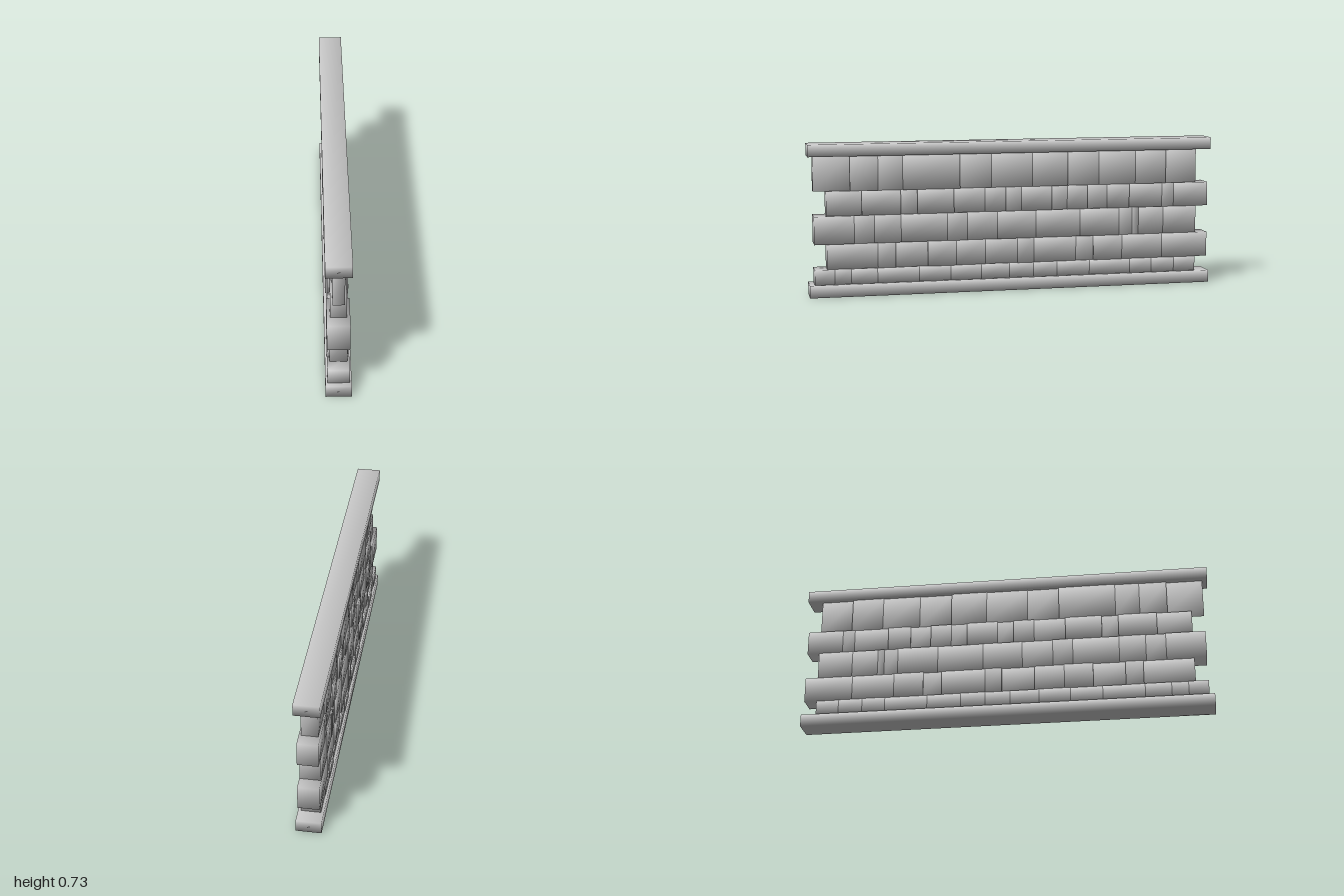
import * as THREE from 'three';
import { mergeVertices } from 'three/addons/utils/BufferGeometryUtils.js';

const material = new THREE.MeshStandardMaterial({ color: 0xcccccc });

// Box with corner normals shared between faces, for a soft, worn stone look
function softBox(name, halfWidth, y0, y1, z0, z1) {
  let geo = new THREE.BoxGeometry(halfWidth * 2, y1 - y0, Math.abs(z1 - z0));
  geo.deleteAttribute('uv');
  geo.deleteAttribute('normal');
  geo = mergeVertices(geo);
  geo.computeVertexNormals();
  const mesh = new THREE.Mesh(geo, material);
  mesh.name = name;
  mesh.position.set(0, (y0 + y1) / 2, (z0 + z1) / 2);
  return mesh;
}

// Courses from bottom to top: height range, joints from front to back,
// and half widths that repeat along the course (the first and last stones fixed)
const courses = [
  {
    y: [0.06, 0.133], first: 0.05, last: 0.046, widths: [0.046, 0.05, 0.048],
    joints: [0.975, 0.88, 0.8, 0.675, 0.473, 0.318, 0.168, 0.028, -0.095, -0.213,
      -0.379, -0.588, -0.7, -0.818, -0.93],
  },
  {
    y: [0.133, 0.255], first: 0.04, last: 0.05, widths: [0.047, 0.04, 0.052],
    joints: [0.915, 0.671, 0.585, 0.43, 0.291, 0.146, -0.014, -0.095, -0.309, -0.4,
      -0.545, -0.754, -0.99],
  },
  {
    y: [0.255, 0.39], first: 0.052, last: 0.048, widths: [0.046, 0.05, 0.048, 0.052],
    joints: [0.975, 0.784, 0.687, 0.559, 0.334, 0.237, 0.087, -0.106, -0.33, -0.529,
      -0.598, -0.63, -0.759, -0.93],
  },
  {
    y: [0.39, 0.508], first: 0.037, last: 0.048, widths: [0.046, 0.037, 0.048, 0.04],
    joints: [0.915, 0.746, 0.559, 0.478, 0.3, 0.146, 0.044, -0.036, -0.186, -0.266,
      -0.368, -0.47, -0.582, -0.754, -0.813, -0.99],
  },
  {
    y: [0.508, 0.675], first: 0.027, last: 0.038, widths: [0.038, 0.042, 0.048],
    joints: [0.975, 0.8, 0.666, 0.548, 0.27, 0.114, -0.09, -0.266, -0.427, -0.614,
      -0.77, -0.93],
  },
];

export function createModel() {
  const wall = new THREE.Group();
  wall.name = 'stoneWall';

  // Base slab and coping slab
  wall.add(softBox('baseSlab', 0.059, 0, 0.06, -1, 1));
  wall.add(softBox('copingSlab', 0.059, 0.675, 0.733, -1, 1));

  // Courses of stones
  courses.forEach(({ y, first, last, widths, joints }, row) => {
    const course = new THREE.Group();
    course.name = `course${row + 1}`;
    const count = joints.length - 1;
    for (let i = 0; i < count; i++) {
      const half = i === 0 ? first : i === count - 1 ? last : widths[(i - 1) % widths.length];
      course.add(softBox('stone', half, y[0], y[1], joints[i + 1], joints[i]));
    }
    wall.add(course);
  });
  return wall;
}
